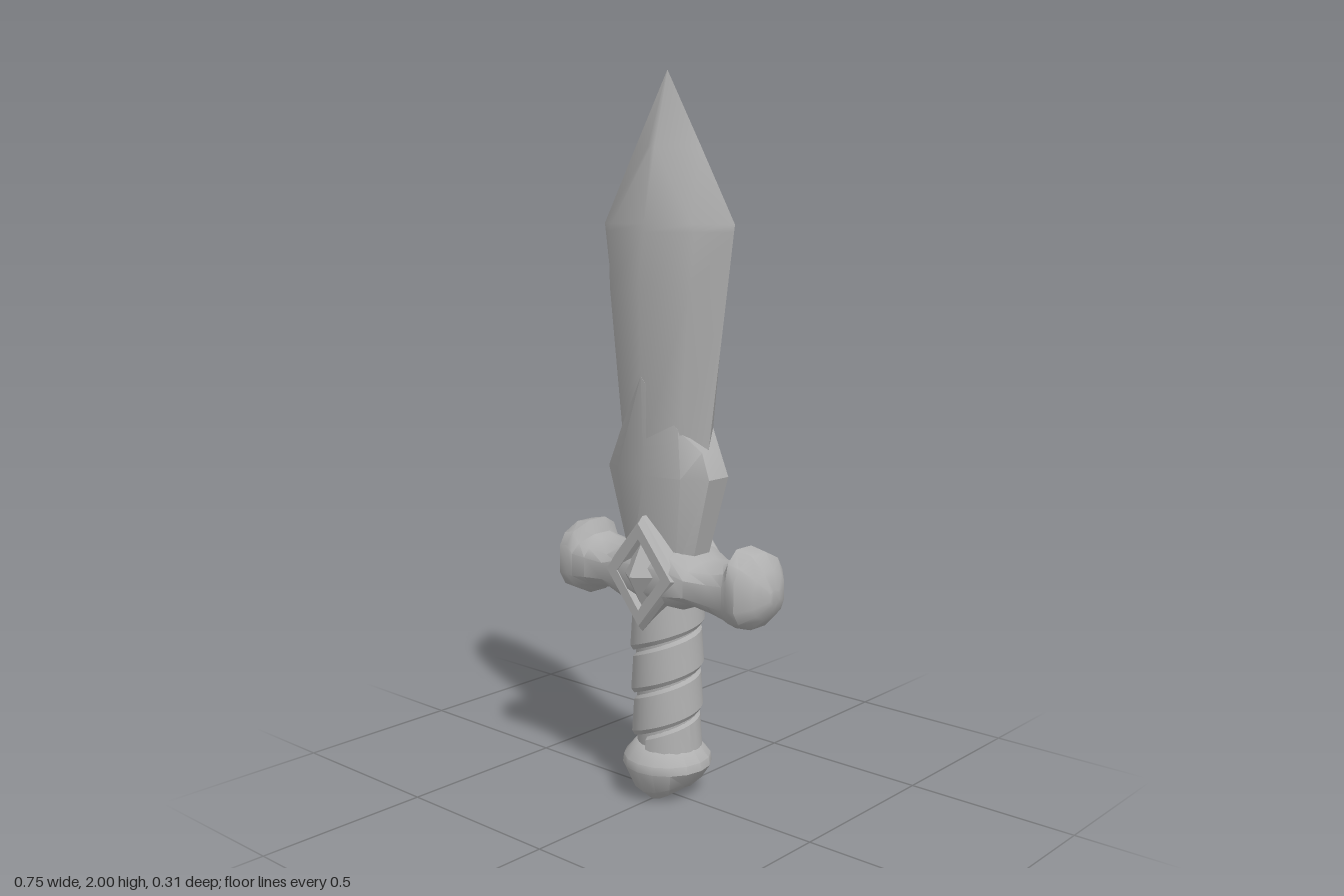
import * as THREE from 'three';
import { toCreasedNormals } from 'three/addons/utils/BufferGeometryUtils.js';

// Skins closed rings of [x, y, z] points; rings run counter-clockwise seen from the far end.
function loft(rings, crease) {
  const n = rings[0].length, pos = [], idx = [];
  rings.forEach(r => r.forEach(p => pos.push(...p)));
  for (let i = 0; i < rings.length - 1; i++) {
    for (let j = 0; j < n; j++) {
      const a = i * n + j, b = i * n + (j + 1) % n;
      idx.push(a, b, b + n, a, b + n, a + n);
    }
  }
  const last = (rings.length - 1) * n;
  for (let j = 1; j < n - 1; j++) idx.push(0, j + 1, j, last, last + j, last + j + 1);
  const g = new THREE.BufferGeometry();
  g.setAttribute('position', new THREE.Float32BufferAttribute(pos, 3));
  g.setIndex(idx);
  return toCreasedNormals(g, crease);
}

// Diamond outline as a shape or a hole.
function diamond(Type, w, h) {
  const s = new Type();
  s.moveTo(w, 0); s.lineTo(0, h); s.lineTo(-w, 0); s.lineTo(0, -h); s.closePath();
  return s;
}

export function createModel() {
  const model = new THREE.Group();
  const steel = new THREE.MeshStandardMaterial({ color: 0xb0b0b0 });
  steel.name = 'plain grey';
  const add = (name, geometry, parent = model) => {
    const m = new THREE.Mesh(geometry, steel);
    m.name = name;
    parent.add(m);
    return m;
  };

  // Blade: y, edge half width, bevel half width, bevel depth, ridge depth
  const blade = [
    [0.68, 0.12, 0.08, 0.05, 0.068],
    [1.0, 0.147, 0.1, 0.068, 0.1],
    [1.43, 0.208, 0.143, 0.074, 0.114],
    [1.58, 0.229, 0.154, 0.067, 0.097],
    [1.6, 0.232, 0.142, 0.067, 0.094],
    [1.8, 0.117, 0.012, 0.064, 0.066],
    [2.0, 0, 0, 0, 0],
  ].map(([y, w, b, e, d]) => [
    [0, y, d], [b, y, e], [w, y, 0], [b, y, -e],
    [0, y, -d], [-b, y, -e], [-w, y, 0], [-b, y, e],
  ]);
  add('blade', loft(blade, 0.75));

  // Collar at the blade root: flared shoulders and a point up the ridge
  const collar = [
    // centre y, edge y, half width, edge half depth, bevel x, bevel depth, ridge depth
    [0.66, 0.66, 0.11, 0.03, 0.08, 0.06, 0.07],
    [0.93, 0.93, 0.183, 0.04, 0.115, 0.078, 0.098],
    [1.2, 1.0, 0.15, 0.03, 0.1, 0.071, 0.107],
  ].map(([yc, ye, w, e, b, f, d]) => {
    const ym = ye + (yc - ye) * 0.3;
    const side = [[0, yc, d], [b, ym, f], [w, ye, e], [w, ye, -e], [b, ym, -f], [0, yc, -d]];
    return [...side, ...side.slice(1, 5).reverse().map(([x, y, z]) => [-x, y, z])];
  });
  add('bladeCollar', loft(collar, 0.65));

  // Guard: x, top, bottom, half depth, bow of the rim; mirrored to both sides
  const profile = [[1, 0.3], [0.75, 0.8], [0.4, 1], [-0.4, 1], [-0.75, 0.8], [-1, 0.3]];
  const section = [...profile, ...profile.slice().reverse().map(([u, v]) => [u, -v])];
  const half = [
    [0.09, 0.735, 0.56, 0.118, 0],
    [0.15, 0.7, 0.583, 0.108, 0],
    [0.225, 0.708, 0.568, 0.102, 0],
    [0.25, 0.718, 0.555, 0.1, 0.025],
    [0.268, 0.757, 0.543, 0.104, 0.025],
    [0.32, 0.747, 0.547, 0.104, 0],
    [0.355, 0.705, 0.578, 0.066, 0],
    [0.376, 0.66, 0.62, 0.02, 0],
  ];
  const mirrored = half.slice().reverse().map(([x, top, bottom, hz, bow]) => [-x, top, bottom, hz, -bow]);
  const guard = [...mirrored, ...half].map(([x, top, bottom, hz, bow]) => section.map(([u, v]) =>
    [x + bow * v * v, (top + bottom) / 2 + u * (top - bottom) / 2, v * hz]));
  add('guard', loft(guard, 0.7));

  // Diamond frame and gem on both faces
  const frameShape = diamond(THREE.Shape, 0.118, 0.143);
  frameShape.holes.push(diamond(THREE.Path, 0.08, 0.1));
  const frameGeo = new THREE.ExtrudeGeometry(frameShape, {
    depth: 0.05, bevelEnabled: true, bevelSize: 0.013, bevelThickness: 0.018, bevelSegments: 1,
  });
  const gemGeo = new THREE.ConeGeometry(1, 1, 4).toNonIndexed();
  gemGeo.rotateX(Math.PI / 2).scale(0.068, 0.088, 0.05);
  gemGeo.computeVertexNormals();
  for (const [side, angle] of [['front', 0], ['back', Math.PI]]) {
    const ornament = new THREE.Group();
    ornament.name = side + 'Ornament';
    ornament.position.y = 0.658;
    ornament.rotation.y = angle;
    add('diamondFrame', frameGeo, ornament).position.z = 0.052;
    add('gem', gemGeo, ornament).position.z = 0.131;
    model.add(ornament);
  }

  // Grip core and the strap wound around it
  const core = new THREE.CylinderGeometry(0.09, 0.084, 0.46, 24);
  add('gripCore', core.translate(0, 0.36, 0));
  const strap = [];
  const turns = 3.4, steps = 102, pitch = 0.125;
  for (let i = 0; i <= steps; i++) {
    const t = i / steps, a = t * turns * Math.PI * 2;
    const y = 0.131 + t * turns * pitch + 0.015 * Math.sin(a);
    const r = 0.086 + 0.007 * t;
    strap.push([[0.08, 0.052], [r - 0.002, 0.058], [r + 0.006, 0.048],
      [r + 0.012, -0.045], [r + 0.004, -0.058], [0.08, -0.052]]
      .map(([q, h]) => [q * Math.sin(a), y + h, q * Math.cos(a)]));
  }
  add('gripStrap', loft(strap, 0.6));

  // Pommel with a saddle-shaped underside
  const pommelProfile = [[0, 0.02], [0.065, 0.015], [0.1, 0.045], [0.126, 0.095],
    [0.123, 0.118], [0.09, 0.157], [0.07, 0.165], [0, 0.165]]
    .map(([x, y]) => new THREE.Vector2(x, y));
  const pommel = new THREE.LatheGeometry(pommelProfile, 16);
  const p = pommel.attributes.position;
  for (let i = 0; i < p.count; i++) {
    const x = p.getX(i), z = p.getZ(i), r2 = x * x + z * z;
    if (p.getY(i) < 0.05 && r2 > 0.001) p.setY(i, p.getY(i) + 0.015 * (x * x - z * z) / r2);
  }
  add('pommel', toCreasedNormals(pommel, 0.6));

  return model;
}
